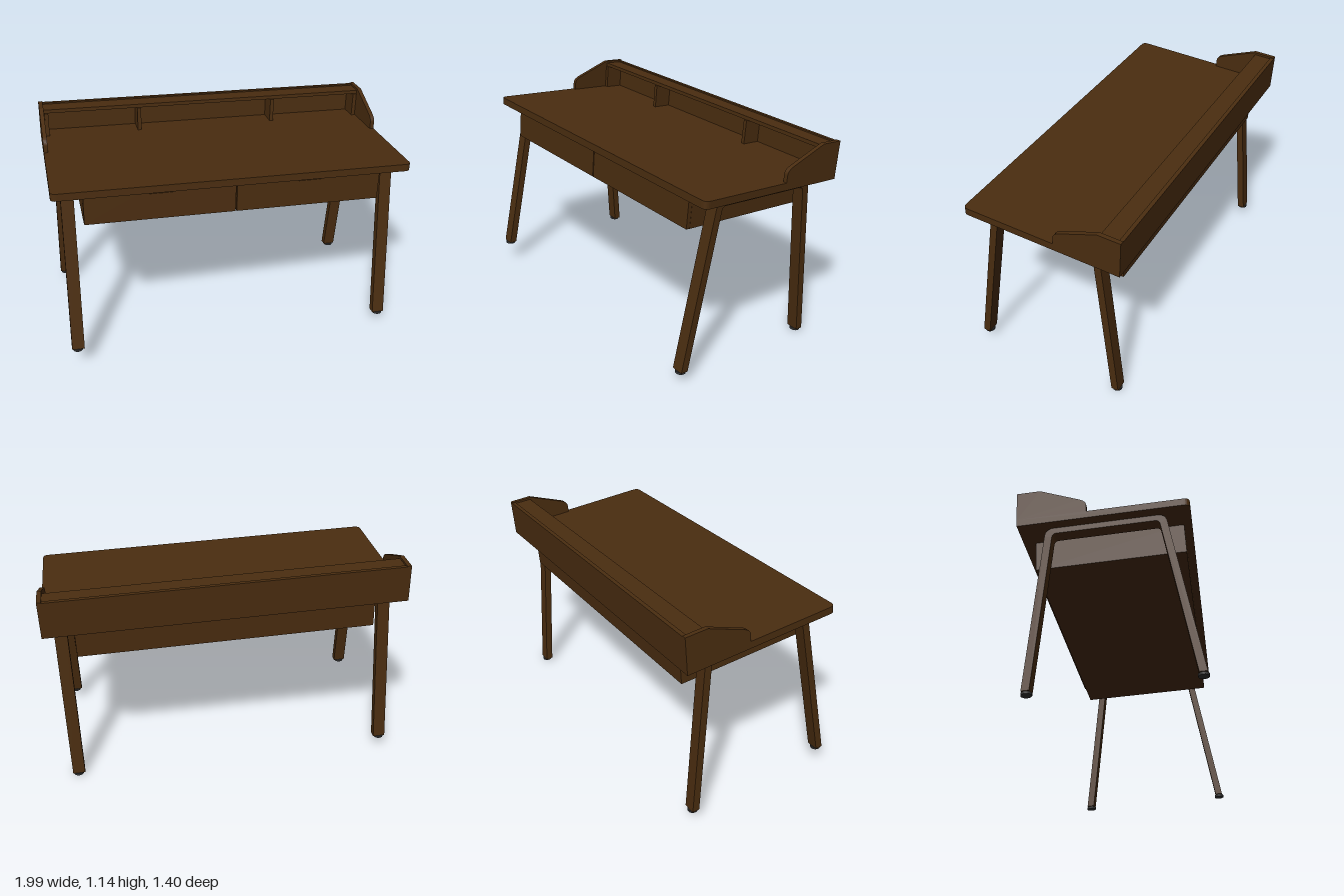
import * as THREE from 'three';

export function createModel() {
  const wood = new THREE.MeshStandardMaterial({ color: 0x4a2d10 });
  wood.name = 'dark wood';
  const rubber = new THREE.MeshStandardMaterial({ color: 0x333333 });
  rubber.name = 'grey foot pad';

  const root = new THREE.Group();
  root.name = 'writingDesk';
  const desk = new THREE.Group();
  desk.name = 'desk';
  root.add(desk);

  const add = (name, geometry, material = wood) => {
    const mesh = new THREE.Mesh(geometry, material);
    mesh.name = name;
    desk.add(mesh);
    return mesh;
  };
  // Box given by its limits on each axis
  const box = (name, x0, x1, y0, y1, z0, z1) =>
    add(name, new THREE.BoxGeometry(x1 - x0, y1 - y0, z1 - z0))
      .position.set((x0 + x1) / 2, (y0 + y1) / 2, (z0 + z1) / 2);
  // Extrude a (z, y) profile sideways, centred on x
  const sideExtrude = (shape, width) =>
    new THREE.ExtrudeGeometry(shape, { depth: width, bevelEnabled: false, curveSegments: 6 })
      .translate(0, 0, -width / 2)
      .rotateY(-Math.PI / 2);

  const W = 0.915, BACK = -0.377, FRONT = 0.464;
  const UNDER = 0.928, TOP = 0.966;

  // Tabletop with rounded front corners
  const r = 0.03;
  const top = new THREE.Shape();
  top.moveTo(-W, -BACK);
  top.lineTo(-W, -FRONT + r);
  top.quadraticCurveTo(-W, -FRONT, -W + r, -FRONT);
  top.lineTo(W - r, -FRONT);
  top.quadraticCurveTo(W, -FRONT, W, -FRONT + r);
  top.lineTo(W, -BACK);
  top.closePath();
  add('tabletop', new THREE.ExtrudeGeometry(top, { depth: TOP - UNDER, bevelEnabled: false, curveSegments: 6 })
    .rotateX(-Math.PI / 2).translate(0, UNDER, 0));

  // Drawer case and two fronts with finger notches
  box('drawerCase', -0.762, 0.762, 0.768, UNDER, -0.318, 0.404);
  const front = new THREE.Shape();
  const half = 0.379;
  [[-half, 0.768], [half, 0.768], [half, UNDER], [0.075, UNDER], [0.058, 0.906], [-0.058, 0.906], [-0.075, UNDER], [-half, UNDER]]
    .forEach(([x, y], i) => (i ? front.lineTo(x, y) : front.moveTo(x, y)));
  front.closePath();
  for (const s of [-1, 1]) {
    add(s > 0 ? 'leftDrawerFront' : 'rightDrawerFront',
      new THREE.ExtrudeGeometry(front, { depth: 0.02, bevelEnabled: false }))
      .position.set(s * 0.382, 0, 0.404);
  }

  // Raised organiser along the back
  box('organiserBack', -0.893, 0.893, TOP, 1.12, BACK, -0.357);
  box('organiserShelf', -0.893, 0.893, 1.094, 1.113, -0.357, -0.265);
  for (const x of [-0.88, -0.38, 0.38, 0.88]) {
    box('organiserDivider', x - 0.01, x + 0.01, TOP, 1.094, -0.357, -0.258);
  }

  // Sloped side panels with a rounded nose
  const cheek = new THREE.Shape();
  cheek.moveTo(BACK, TOP);
  cheek.lineTo(-0.034, TOP);
  cheek.lineTo(-0.034, 1.005);
  cheek.quadraticCurveTo(-0.034, 1.027, -0.068, 1.042);
  cheek.lineTo(-0.26, 1.124);
  cheek.lineTo(BACK, 1.124);
  cheek.closePath();

  // Bent leg frame: two splayed legs joined under the top
  const frame = new THREE.Shape();
  frame.moveTo(0.414, 0.066);
  frame.lineTo(0.3, 0.885);
  frame.quadraticCurveTo(0.294, UNDER, 0.255, UNDER);
  frame.lineTo(-0.255, UNDER);
  frame.quadraticCurveTo(-0.294, UNDER, -0.3, 0.885);
  frame.lineTo(-0.414, 0.066);
  frame.lineTo(-0.376, 0.066);
  frame.lineTo(-0.264, 0.875);
  frame.quadraticCurveTo(-0.261, 0.897, -0.24, 0.897);
  frame.lineTo(0.24, 0.897);
  frame.quadraticCurveTo(0.261, 0.897, 0.264, 0.875);
  frame.lineTo(0.376, 0.066);
  frame.closePath();

  for (const s of [-1, 1]) {
    const side = s > 0 ? 'left' : 'right';
    add(side + 'OrganiserSide', sideExtrude(cheek, 0.022)).position.x = s * (W - 0.011);
    add(side + 'LegFrame', sideExtrude(frame, 0.064)).position.set(s * 0.832, 0, 0.048);
    for (const z of [-0.395, 0.395]) {
      add(side + 'FootPad', new THREE.CylinderGeometry(0.026, 0.026, 0.012, 20), rubber)
        .position.set(s * 0.834, 0.06, 0.048 + z);
    }
  }

  // The whole desk stands turned and slightly tilted
  const ax = new THREE.Vector3(0.953, -0.0353, -0.2998).normalize();
  const az = new THREE.Vector3(0.3, 0.06, 0.951);
  const ay = new THREE.Vector3().crossVectors(az, ax).normalize();
  az.crossVectors(ax, ay);
  desk.quaternion.setFromRotationMatrix(new THREE.Matrix4().makeBasis(ax, ay, az));
  desk.position.copy(ax).multiplyScalar(-0.03);
  return root;
}
